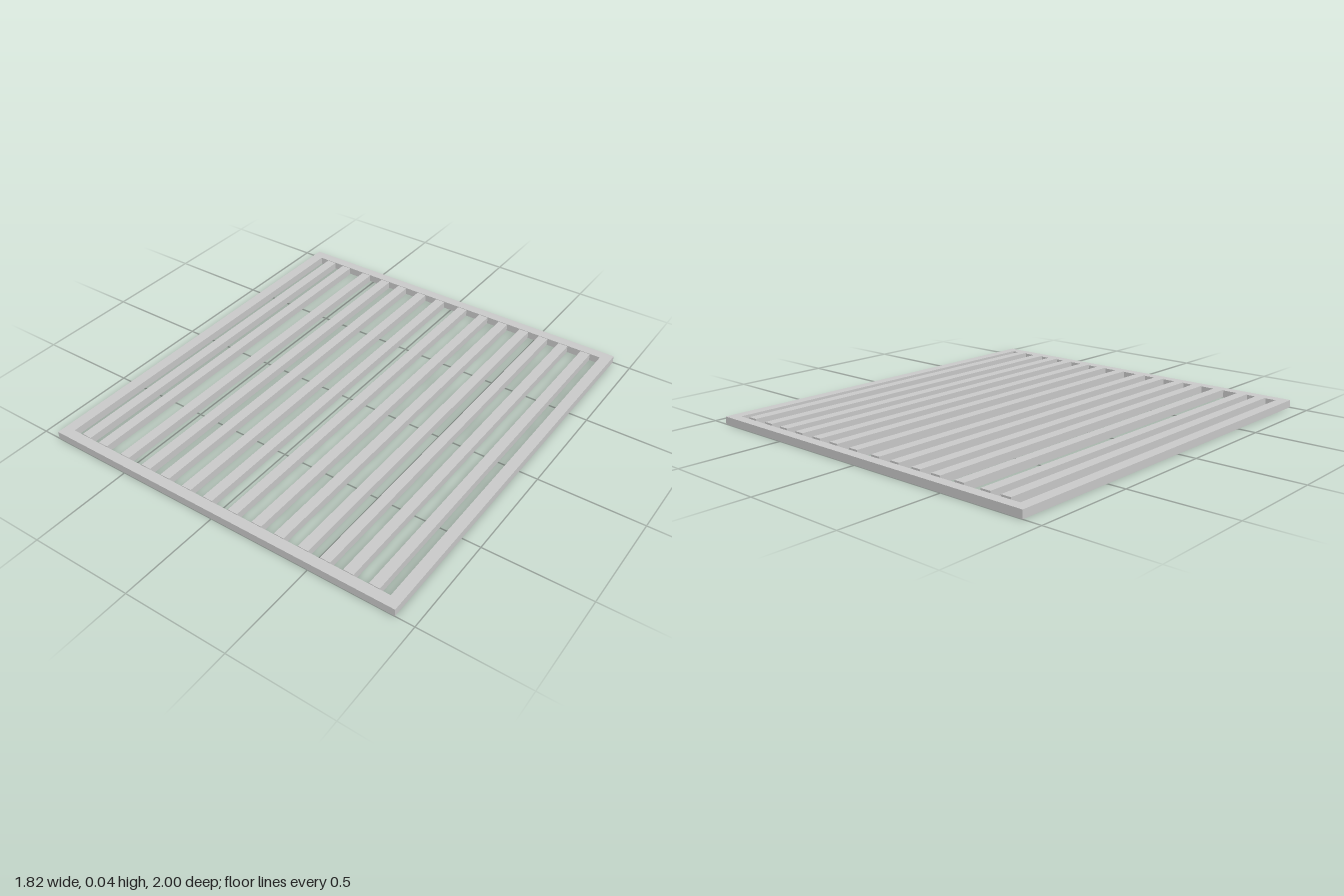
import * as THREE from 'three';

export function createModel() {
  const group = new THREE.Group();
  const material = new THREE.MeshStandardMaterial({ color: 0xcccccc, flatShading: true });

  // Rectangular outer frame, extruded upward
  const frameHeight = 0.037;
  const outline = new THREE.Shape([
    new THREE.Vector2(-0.911, -1), new THREE.Vector2(0.911, -1),
    new THREE.Vector2(0.911, 1), new THREE.Vector2(-0.911, 1),
  ]);
  outline.holes.push(new THREE.Path([
    new THREE.Vector2(-0.858, -0.949), new THREE.Vector2(-0.858, 0.951),
    new THREE.Vector2(0.858, 0.951), new THREE.Vector2(0.858, -0.949),
  ]));
  const frameGeometry = new THREE.ExtrudeGeometry(outline, { depth: frameHeight, bevelEnabled: false });
  frameGeometry.rotateX(-Math.PI / 2);
  const frame = new THREE.Mesh(frameGeometry, material);
  frame.name = 'frame';
  group.add(frame);

  // Unevenly spaced slats, standing slightly proud of the frame
  const slats = new THREE.Group();
  slats.name = 'slats';
  const back = -0.942, front = 0.949, bottom = 0.004, top = 0.041;
  const slatGeometry = new THREE.BoxGeometry(0.05, top - bottom, front - back);
  const slatX = [-0.78, -0.678, -0.542, -0.415, -0.304, -0.18, -0.062,
    0.075, 0.202, 0.318, 0.44, 0.549, 0.661, 0.783];
  slatX.forEach((x, i) => {
    const slat = new THREE.Mesh(slatGeometry, material);
    slat.name = `slat${i + 1}`;
    slat.position.set(x, (top + bottom) / 2, (front + back) / 2);
    slats.add(slat);
  });
  group.add(slats);

  return group;
}
